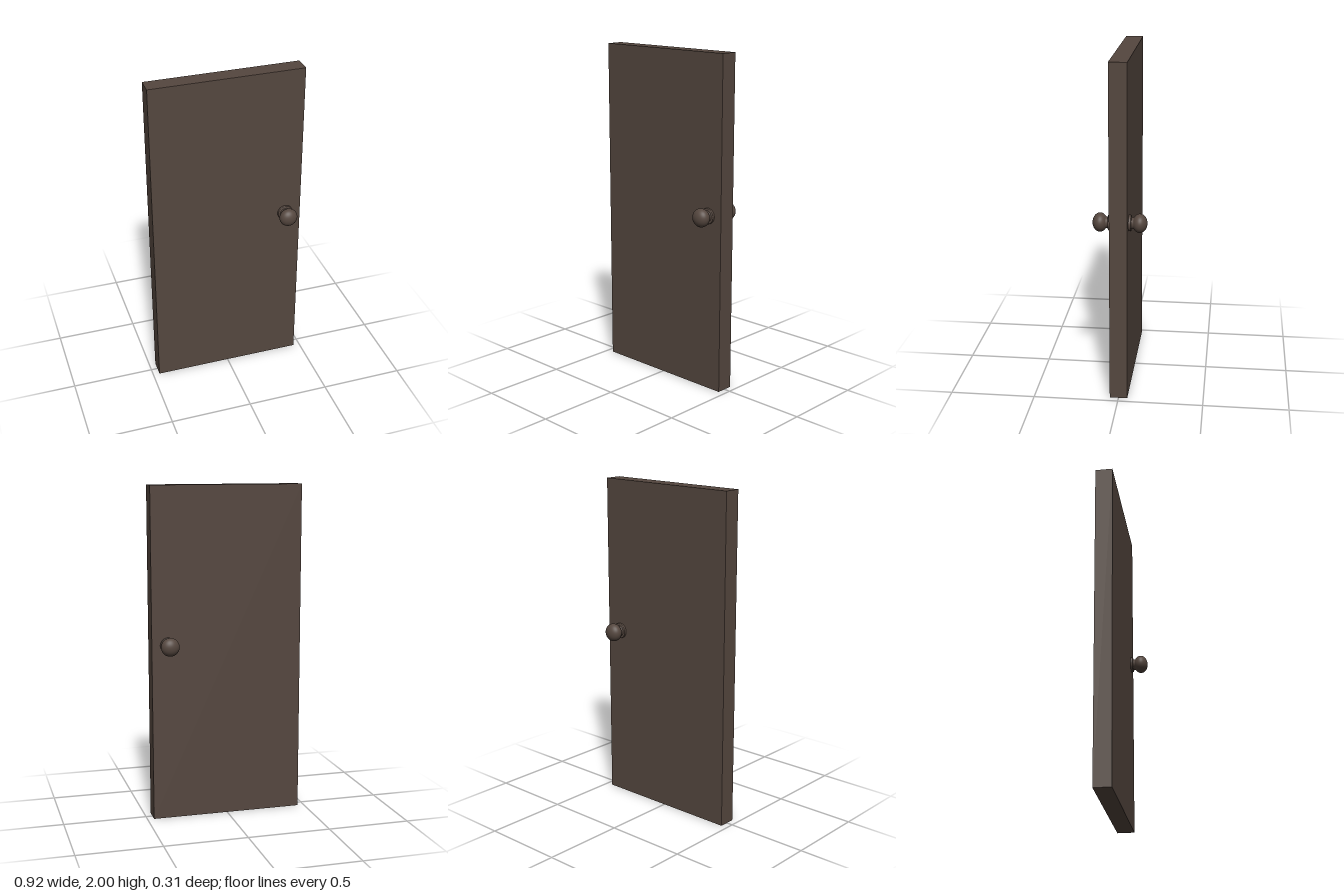
import * as THREE from 'three';

export function createModel() {
  const model = new THREE.Group();
  const brown = new THREE.MeshStandardMaterial({ color: 0x55473f });
  brown.name = 'dark brown';

  const add = (parent, name, geometry) => {
    const mesh = new THREE.Mesh(geometry, brown);
    mesh.name = name;
    parent.add(mesh);
    return mesh;
  };
  const lathe = (points) =>
    new THREE.LatheGeometry(points.map(([r, y]) => new THREE.Vector2(r, y)), 40);

  // Plain slab
  const half = 0.052;
  add(model, 'doorPanel', new THREE.BoxGeometry(0.92, 2, half * 2)).position.y = 1;

  // One knob on each face, turned along the z axis
  for (const side of [1, -1]) {
    const knob = new THREE.Group();
    knob.name = side > 0 ? 'frontKnob' : 'backKnob';
    knob.position.set(0.363, 1.065, side * half);
    knob.rotation.x = side * Math.PI / 2;
    model.add(knob);

    // Round backplate with a softly bevelled rim
    add(knob, 'backplate', lathe([
      [0.047, 0], [0.047, 0.011], [0.046, 0.013], [0.042, 0.015], [0, 0.016],
    ]));

    // Waisted neck
    add(knob, 'neck', lathe([
      [0.036, 0.014], [0.033, 0.018], [0.032, 0.022], [0.034, 0.027], [0.038, 0.034],
    ]));

    // Flattened ball grip
    const grip = add(knob, 'grip', new THREE.SphereGeometry(0.055, 40, 24));
    grip.scale.y = 0.78;
    grip.position.y = 0.062;
  }
  return model;
}
